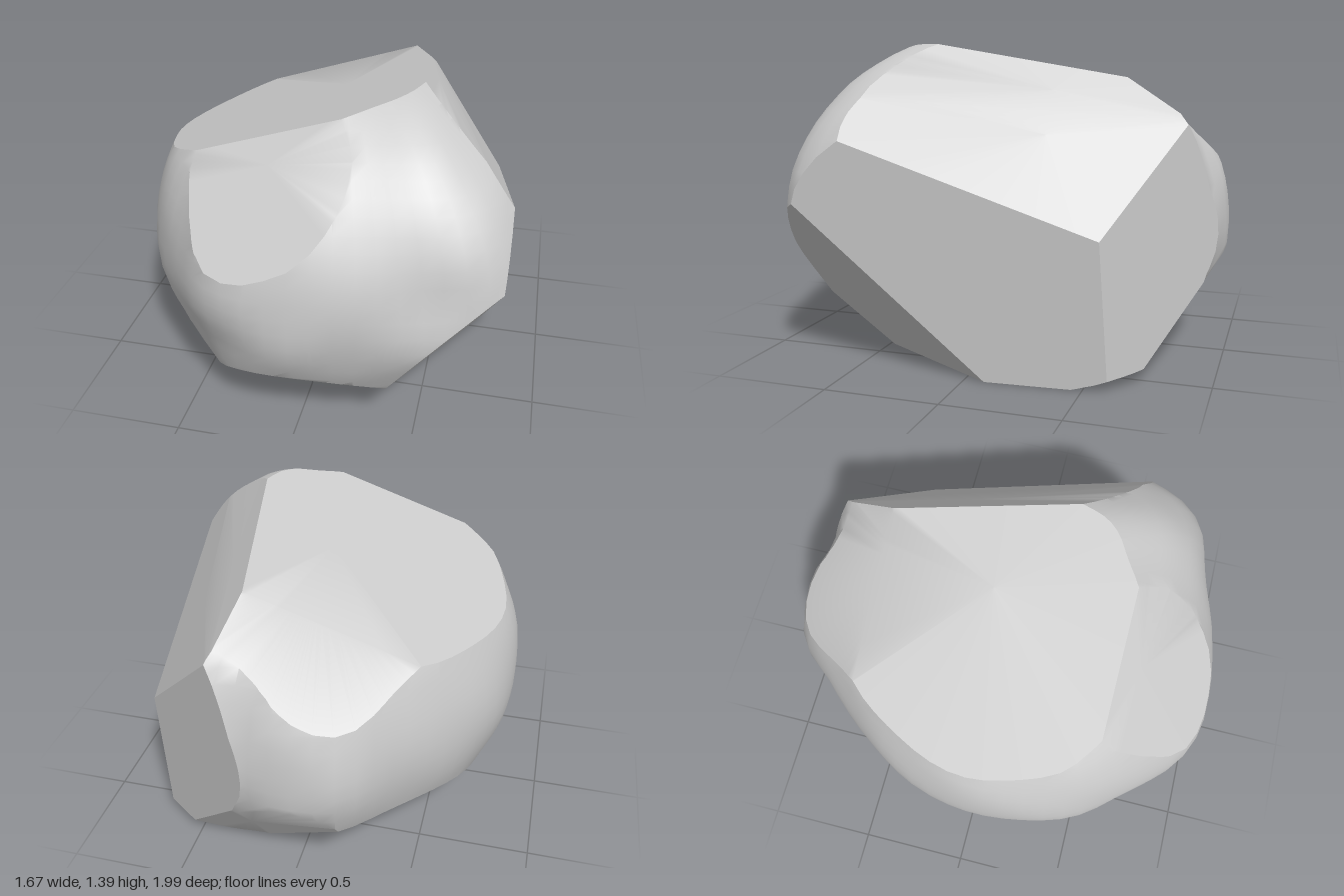
import * as THREE from 'three';
import { toCreasedNormals } from 'three/addons/utils/BufferGeometryUtils.js';

const CENTRE = new THREE.Vector3(0, 0.65, 0);
const SEGMENTS = 72, ROWS = 40;

// Plan outline (x, z) at the widest level, anticlockwise from the front
const OUTLINE = [
  [0, 0.995], [0.2, 0.96], [0.45, 0.91], [0.7, 0.85], [0.84, 0.74], [0.98, 0.45],
  [1.25, 0], [1.3, -0.4], [1.05, -0.75], [0.55, -1], [0.22, -0.96], [0.02, -1],
  [-0.23, -0.96], [-0.41, -0.78], [-0.59, -0.58], [-0.72, -0.38], [-0.8, -0.18],
  [-0.835, 0.05], [-0.8, 0.33], [-0.72, 0.53], [-0.53, 0.77], [-0.39, 0.92], [-0.2, 0.985],
];

// Side profile (scale of the outline, height)
const PROFILE = [
  [0, -0.12], [0.45, -0.08], [0.64, 0], [0.79, 0.09], [0.91, 0.27], [0.985, 0.46], [1, 0.64],
  [0.965, 0.84], [0.87, 1.04], [0.75, 1.18], [0.64, 1.27], [0.42, 1.4], [0, 1.55],
];

// Flat cuts: outward normal n and offset d, with n.p <= d kept
const CUTS = [
  { n: [-0.25, 0.75, 0.75], d: 1.365 },      // worn shoulder, front
  { n: [-0.33, 1, -0.7], d: 1.57 },          // worn shoulder, back
  { n: [0, -0.825, 0.565], d: 0.27 },        // worn foot, front
  { n: [0, -0.22, -0.34], d: 0.232 },        // worn foot, back
  { n: [-0.27, -0.28, 0], d: 0.134 },        // worn foot, outer side
  { n: [-0.5, -1, -0.5], d: 0.22 },          // worn foot, back corner
  { n: [-0.33, 1, -0.113], d: 1.228 },       // sloping top
  { n: [1, -0.068, -0.07], d: 0.727 },       // lower side
  { n: [1.49, 1, -0.485], d: 1.99 },         // upper side
  { n: [1.08, 1, -0.37], d: 1.755 },         // upper side, folded part
  { n: [0.59, 0, -0.8], d: 0.887 },          // back corner
  { n: [0.363, -0.295, 0.214], d: 0.243 },   // undercut at the front corner
  { n: [0, -1, 0], d: 0 },                   // base
];

// Hollows worn into the round face: position, width, depth
const HOLLOWS = [
  [new THREE.Vector3(-0.36, 0.42, 0.85), 0.17, 0.04],
  [new THREE.Vector3(0.62, 0.72, 0.85), 0.13, 0.03],
];

function weathered(p) {
  let s = 1 + 0.007 * Math.sin(5.1 * p.x + 2.3 * p.y) * Math.sin(4.7 * p.z - 3.9 * p.y + 1)
    + 0.006 * Math.sin(13 * p.x + 1.7) * Math.sin(12 * p.y + 9 * p.z);
  for (const [at, width, depth] of HOLLOWS) {
    s -= depth * Math.exp(-p.distanceToSquared(at) / (width * width));
  }
  return p.sub(CENTRE).multiplyScalar(s).add(CENTRE);
}

// Closed round body as a list of triangles
function roundBody() {
  const outline = new THREE.CatmullRomCurve3(
    OUTLINE.map(([x, z]) => new THREE.Vector3(x, 0, z)), true).getSpacedPoints(SEGMENTS);
  const profile = new THREE.SplineCurve(
    PROFILE.map(([s, y]) => new THREE.Vector2(s, y))).getSpacedPoints(ROWS);
  const rings = profile.map((level) => outline.map((o) =>
    weathered(new THREE.Vector3(o.x * level.x, level.y, o.z * level.x))));
  const triangles = [];
  for (let i = 0; i < ROWS; i++) {
    for (let j = 0; j < SEGMENTS; j++) {
      const a = rings[i][j], b = rings[i][j + 1];
      const c = rings[i + 1][j], d = rings[i + 1][j + 1];
      if (i > 0) triangles.push([a, b, d]);
      if (i < ROWS - 1) triangles.push([a, d, c]);
    }
  }
  return triangles;
}

// Slice the body with a plane and close the opening with a flat fan
function slice(triangles, { n, d }) {
  const normal = new THREE.Vector3(...n);
  const kept = [], rim = [];
  for (const triangle of triangles) {
    const heights = triangle.map((p) => normal.dot(p) - d);
    const polygon = [];
    let leave, enter;
    for (let i = 0; i < 3; i++) {
      const j = (i + 1) % 3, h = heights[i], k = heights[j];
      if (h <= 0) polygon.push(triangle[i]);
      if ((h <= 0) === (k <= 0)) continue;
      const cross = triangle[i].clone().lerp(triangle[j], h / (h - k));
      polygon.push(cross);
      if (h <= 0) leave = cross;
      else enter = cross;
    }
    for (let i = 2; i < polygon.length; i++) kept.push([polygon[0], polygon[i - 1], polygon[i]]);
    if (leave) rim.push([enter, leave]);
  }
  const middle = new THREE.Vector3();
  for (const [p] of rim) middle.addScaledVector(p, 1 / rim.length);
  for (const [p, q] of rim) kept.push([middle, p, q]);
  return kept;
}

export function createModel() {
  const triangles = CUTS.reduce(slice, roundBody());
  const geometry = new THREE.BufferGeometry().setFromPoints(triangles.flat());
  const group = new THREE.Group();
  group.name = 'rock';
  const boulder = new THREE.Mesh(
    toCreasedNormals(geometry, 0.5), new THREE.MeshStandardMaterial({ color: 0xcccccc }));
  boulder.name = 'boulder';
  group.add(boulder);
  return group;
}
